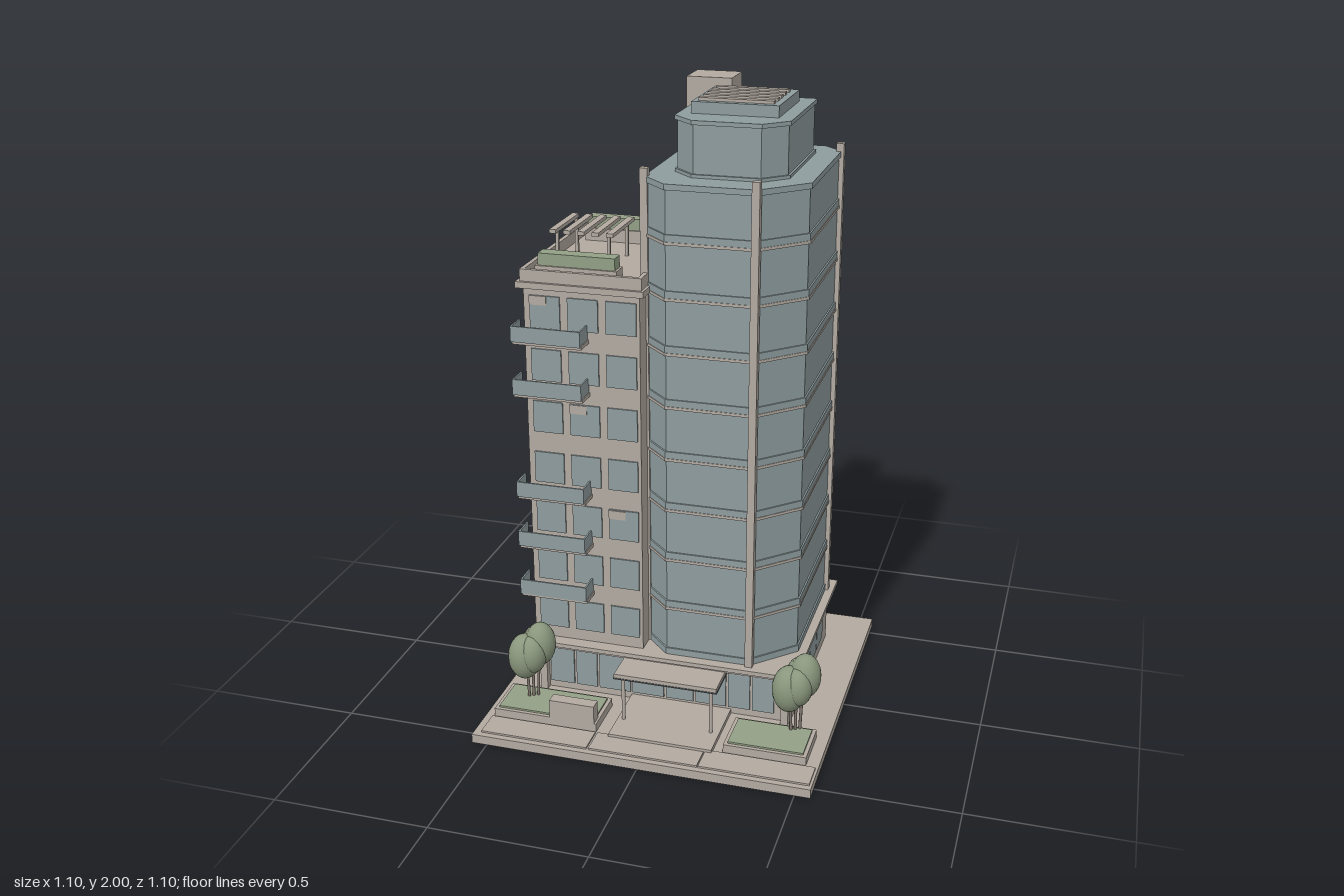
import * as THREE from 'three';

const mat = (name, color) => {
  const m = new THREE.MeshStandardMaterial({ color });
  m.name = name;
  return m;
};

export function createModel() {
  const concrete = mat('warm concrete', 0xb3aaa1);
  const glass = mat('blue grey glass', 0x8f9d9f);
  const lawn = mat('lawn green', 0x93a086);
  const foliage = mat('foliage green', 0x8a977d);
  const bark = mat('bark', 0x7d746b);
  const dark = mat('dark metal', 0x5c6163);

  const model = new THREE.Group();
  model.name = 'officeTower';

  const add = (name, geometry, material, parent = model) => {
    const mesh = new THREE.Mesh(geometry, material);
    mesh.name = name;
    parent.add(mesh);
    return mesh;
  };
  // Box from its limits on each axis
  const box = (name, m, x0, x1, y0, y1, z0, z1, parent) => {
    const mesh = add(name, new THREE.BoxGeometry(x1 - x0, y1 - y0, z1 - z0), m, parent);
    mesh.position.set((x0 + x1) / 2, (y0 + y1) / 2, (z0 + z1) / 2);
    return mesh;
  };
  // Upright prism on a rectangle with cut corners: front left, front right, back right
  const prism = (name, m, [x0, x1, z0, z1], [a, b, c], y0, y1, grow = 0) => {
    x0 -= grow; x1 += grow; z0 -= grow; z1 += grow;
    [a, b, c] = [a, b, c].map((k) => (k ? k + grow * 0.586 : 0));
    const pts = [[x0, z1 - a], [x0 + a, z1], [x1 - b, z1], [x1, z1 - b], [x1, z0 + c], [x1 - c, z0], [x0, z0]]
      .filter((p, i, all) => i === 0 || p[0] !== all[i - 1][0] || p[1] !== all[i - 1][1]);
    const shape = new THREE.Shape(pts.map(([x, z]) => new THREE.Vector2(x, -z)));
    const g = new THREE.ExtrudeGeometry(shape, { depth: y1 - y0, bevelEnabled: false });
    g.rotateX(-Math.PI / 2).translate(0, y0, 0);
    return add(name, g, m);
  };
  // Rectangular rim with an open middle
  const rim = (name, m, x0, x1, y0, y1, z0, z1, t) => {
    box(name, m, x0, x1, y0, y1, z1 - t, z1);
    box(name, m, x0, x1, y0, y1, z0, z0 + t);
    box(name, m, x0, x0 + t, y0, y1, z0 + t, z1 - t);
    box(name, m, x1 - t, x1, y0, y1, z0 + t, z1 - t);
  };

  // Plot and paving
  box('plot', concrete, -0.55, 0.55, 0, 0.03, -0.55, 0.55);
  for (const [x0, x1] of [[-0.525, -0.172], [-0.165, 0.188], [0.192, 0.542]]) {
    box('pavingSlab', concrete, x0, x1, 0.03, 0.036, 0.437, 0.53);
  }
  box('entranceStep', concrete, -0.125, 0.213, 0.03, 0.045, 0.19, 0.45);

  // Podium with cornice
  box('podium', concrete, -0.44, 0.41, 0.03, 0.22, -0.385, 0.2);
  box('podiumSoffit', concrete, -0.455, 0.425, 0.214, 0.226, -0.4, 0.262);
  box('podiumCornice', concrete, -0.47, 0.44, 0.226, 0.24, -0.415, 0.275);
  const shopEdges = [-0.41, -0.32, -0.24, -0.125, -0.01, 0.09, 0.2, 0.28, 0.36];
  for (let i = 0; i < shopEdges.length - 1; i++) {
    box('shopWindow', glass, shopEdges[i] + 0.004, shopEdges[i + 1] - 0.004, 0.055, 0.21, 0.2, 0.206);
  }
  for (let i = 0; i < 4; i++) {
    const z = -0.288 + i * 0.105;
    box('rightPodiumWindow', glass, 0.41, 0.416, 0.08, 0.203, z + 0.003, z + 0.102);
    box('leftPodiumWindow', glass, -0.446, -0.44, 0.08, 0.203, z + 0.003, z + 0.102);
  }
  for (const x of [-0.425, 0.395]) box('podiumPillar', concrete, x - 0.012, x + 0.012, 0.03, 0.22, 0.2, 0.225);

  // Entrance canopy
  box('canopy', concrete, -0.13, 0.207, 0.203, 0.216, 0.2, 0.37);
  box('canopyTrim', dark, -0.132, 0.209, 0.199, 0.203, 0.2, 0.372);
  for (const x of [-0.105, 0.185]) {
    add('canopyPost', new THREE.CylinderGeometry(0.006, 0.006, 0.16, 12), concrete).position.set(x, 0.122, 0.35);
  }

  // Glass tower, floor by floor
  const plan = [-0.08, 0.412, -0.405, 0.24];
  const cuts = [0.085, 0.132, 0.062];
  const floorHeight = 0.171;
  prism('towerGlass', glass, plan, cuts, 0.24, 1.77, -0.005);
  for (let i = 0; i <= 9; i++) {
    const y = 0.24 + i * floorHeight;
    if (i < 9) prism('spandrel', glass, plan, cuts, y, y + 0.022);
    if (i > 0 && i < 9) prism('floorLine', concrete, plan, cuts, y - 0.009, y, 0.002);
  }
  prism('towerRoof', glass, plan, cuts, 1.762, 1.78, 0.001);
  for (const [x, z] of [[-0.08, 0.155], [0.28, 0.24], [0.41, -0.345], [-0.08, -0.405]]) {
    box('towerFin', concrete, x - 0.012, x + 0.012, 0.24, 1.805, z - 0.012, z + 0.012);
  }

  // Set-back crown
  const crown = [-0.01, 0.34, -0.3, 0.145];
  const crownCuts = [0.07, 0.07, 0];
  prism('crownGlass', glass, crown, crownCuts, 1.78, 1.935, -0.007);
  prism('crownBase', glass, crown, crownCuts, 1.78, 1.79);
  prism('crownRoof', glass, crown, crownCuts, 1.935, 1.948);
  box('plantDeck', glass, 0.03, 0.295, 1.948, 1.983, -0.24, 0.04);
  for (let i = 0; i < 5; i++) {
    const z = -0.19 + i * 0.0493;
    box('roofLouvre', concrete, 0.047, 0.275, 1.983, 1.992, z - 0.012, z + 0.012);
  }

  // Service core with vents on the back
  box('serviceCore', concrete, -0.077, 0.07, 0.03, 2, -0.416, -0.285);
  for (let i = 0; i < 4; i++) {
    const y = 1.9 + i * 0.022;
    box('coreVent', dark, -0.045, 0.04, y, y + 0.01, -0.42, -0.416);
  }

  // Lower wing with windows on three sides
  box('wing', concrete, -0.445, -0.075, 0.24, 1.43, -0.365, 0.23);
  for (let f = 0; f < 7; f++) {
    const y0 = 0.28 + f * floorHeight;
    const y1 = y0 + 0.103;
    for (let c = 0; c < 3; c++) {
      const x = -0.425 + c * 0.1215;
      box('frontWindow', glass, x, x + 0.097, y0, y1, 0.23, 0.235);
      box('backWindow', glass, x, x + 0.097, y0, y1, -0.37, -0.365);
    }
    for (let c = 0; c < 5; c++) {
      const z = -0.345 + c * 0.1155;
      box('sideWindow', glass, -0.452, -0.445, y0, y1, z, z + 0.093);
    }
  }
  for (const [x, y] of [[-0.425, 1.38], [-0.303, 1.037], [-0.182, 0.694]]) {
    box('windowBlind', concrete, x, x + 0.055, y, y + 0.029, 0.235, 0.238);
  }

  // Balconies
  for (const f of [1, 2, 3, 5, 6].map((n) => (n === 3 ? 3 : n))) {
    const y = 0.415 + (f - 1) * floorHeight;
    box('balconySlab', concrete, -0.46, -0.238, y, y + 0.012, 0.23, 0.3);
    box('balconyFront', glass, -0.463, -0.241, y + 0.008, y + 0.058, 0.298, 0.304);
    for (const x of [-0.463, -0.246]) box('balconySide', glass, x, x + 0.005, y + 0.008, y + 0.058, 0.23, 0.298);
  }

  // Wing roof: cornice, parapet, planters and pergola
  box('wingCornice', concrete, -0.467, -0.06, 1.43, 1.45, -0.38, 0.242);
  rim('wingParapet', concrete, -0.455, -0.068, 1.45, 1.488, -0.37, 0.232, 0.014);
  for (const z of [-0.298, 0.167]) {
    box('roofPlanter', concrete, -0.418, -0.157, 1.45, 1.492, z - 0.03, z + 0.03);
    box('roofHedge', lawn, -0.41, -0.164, 1.492, 1.53, z - 0.024, z + 0.024);
  }
  for (let i = 0; i < 5; i++) {
    const x = -0.406 + i * 0.0465;
    box('pergolaSlat', concrete, x - 0.011, x + 0.011, 1.56, 1.572, -0.147, 0.07);
  }
  for (const x of [-0.396, -0.228]) {
    for (const z of [-0.125, 0.053]) box('pergolaPost', concrete, x - 0.005, x + 0.005, 1.45, 1.562, z - 0.005, z + 0.005);
  }

  // Front garden beds and low wall
  for (const [x0, x1] of [[-0.52, -0.173], [0.245, 0.51]]) {
    box('gardenKerb', concrete, x0, x1, 0.03, 0.058, 0.265, 0.428);
    box('gardenLawn', lawn, x0 + 0.012, x1 - 0.012, 0.058, 0.064, 0.277, 0.416);
  }
  box('gardenWall', concrete, -0.33, -0.18, 0.03, 0.12, 0.388, 0.428);

  // Trees with clustered crowns
  const tree = (x, z) => {
    const g = new THREE.Group();
    g.name = 'tree';
    g.position.set(x, 0.06, z);
    model.add(g);
    for (const [dx, dz] of [[0, 0], [0.018, -0.012], [-0.018, 0.01]]) {
      const stem = new THREE.LineCurve3(new THREE.Vector3(dx * 0.7, 0, dz * 0.7), new THREE.Vector3(dx, 0.16, dz));
      add('trunk', new THREE.TubeGeometry(stem, 1, 0.005, 8), bark, g);
    }
    for (const [dx, y, dz, r, h] of [[-0.02, 0.155, 0.013, 0.055, 0.078], [0.025, 0.195, -0.012, 0.05, 0.074], [0.01, 0.17, 0.02, 0.045, 0.065], [0.005, 0.18, -0.022, 0.045, 0.07]]) {
      const leaf = add('treeCrown', new THREE.SphereGeometry(1, 20, 14), foliage, g);
      leaf.position.set(dx, y, dz);
      leaf.scale.set(r, h, r);
    }
  };
  tree(-0.423, 0.325);
  tree(0.445, 0.287);

  return model;
}
